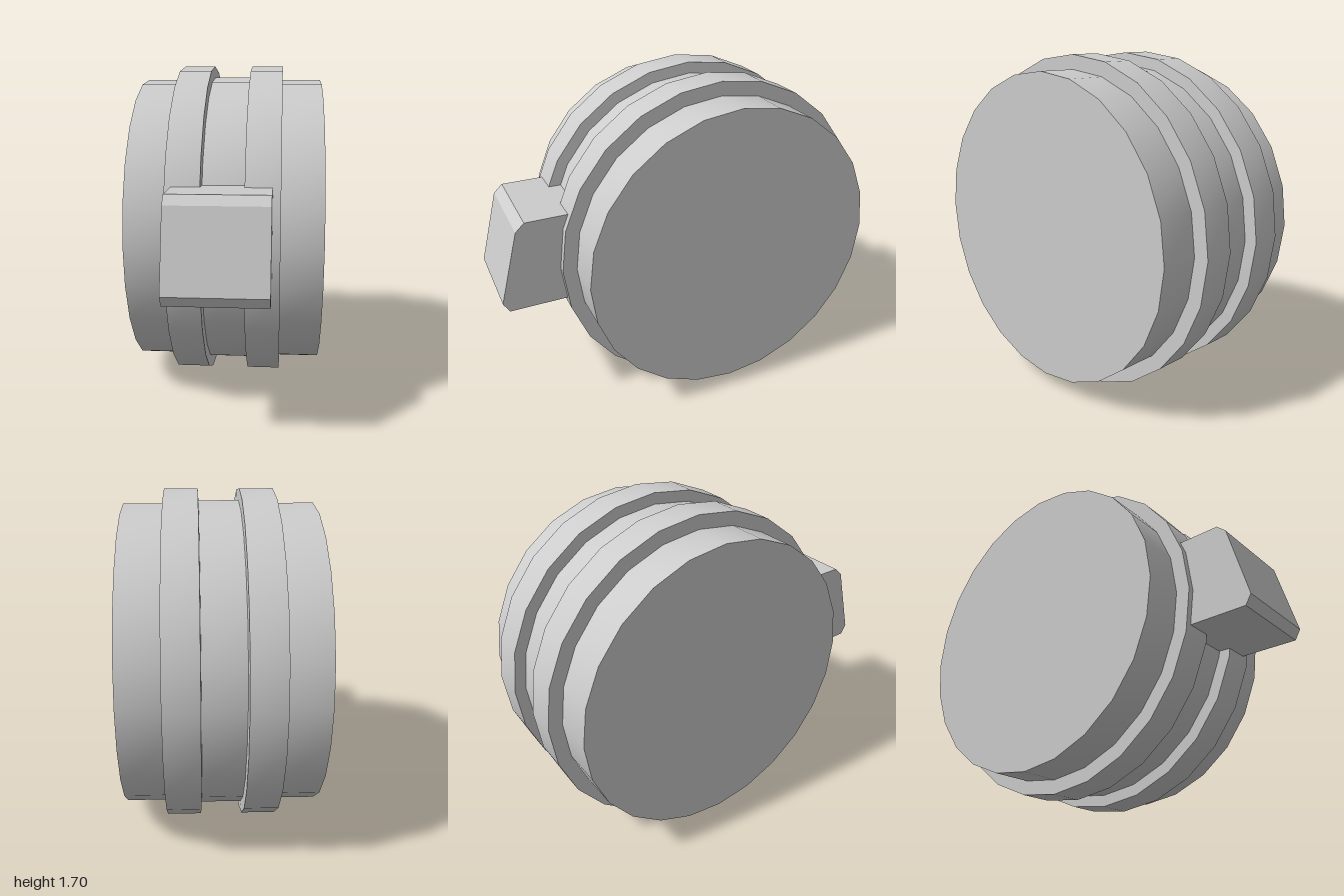
import * as THREE from 'three';
import { toCreasedNormals } from 'three/addons/utils/BufferGeometryUtils.js';

const material = new THREE.MeshStandardMaterial({ color: 0xcccccc });
const SIDES = 24;

export function createModel() {
  const group = new THREE.Group();

  // Stepped drum: [radius, x] profile turned about the x axis
  const profile = [
    [0, -0.475], [0.778, -0.475], [0.778, -0.27],
    [0.85, -0.27], [0.85, -0.103], [0.792, -0.1],
    [0.792, 0.1], [0.85, 0.103], [0.85, 0.27],
    [0.778, 0.27], [0.778, 0.475], [0, 0.475],
  ].map(([r, x]) => new THREE.Vector2(r, x));
  const drumGeometry = toCreasedNormals(new THREE.LatheGeometry(profile, SIDES), 0.6);
  drumGeometry.rotateZ(-Math.PI / 2);
  const drum = new THREE.Mesh(drumGeometry, material);
  drum.name = 'drum';
  drum.position.set(0, 0.852, -0.15);
  group.add(drum);

  // Wedge-shaped front block: (z, y) outline extruded across x
  const outline = new THREE.Shape([
    [0.5, 0.675], [0.97, 0.675], [1.0, 0.725],
    [0.9, 1.1], [0.855, 1.142], [0.5, 1.142],
  ].map(([z, y]) => new THREE.Vector2(z, y)));
  const blockGeometry = new THREE.ExtrudeGeometry(outline, { depth: 0.47, bevelEnabled: false });
  blockGeometry.rotateY(-Math.PI / 2); // outline x becomes z, depth runs to -x
  const block = new THREE.Mesh(blockGeometry, material);
  block.name = 'frontBlock';
  block.position.x = 0.232;
  group.add(block);

  return group;
}
